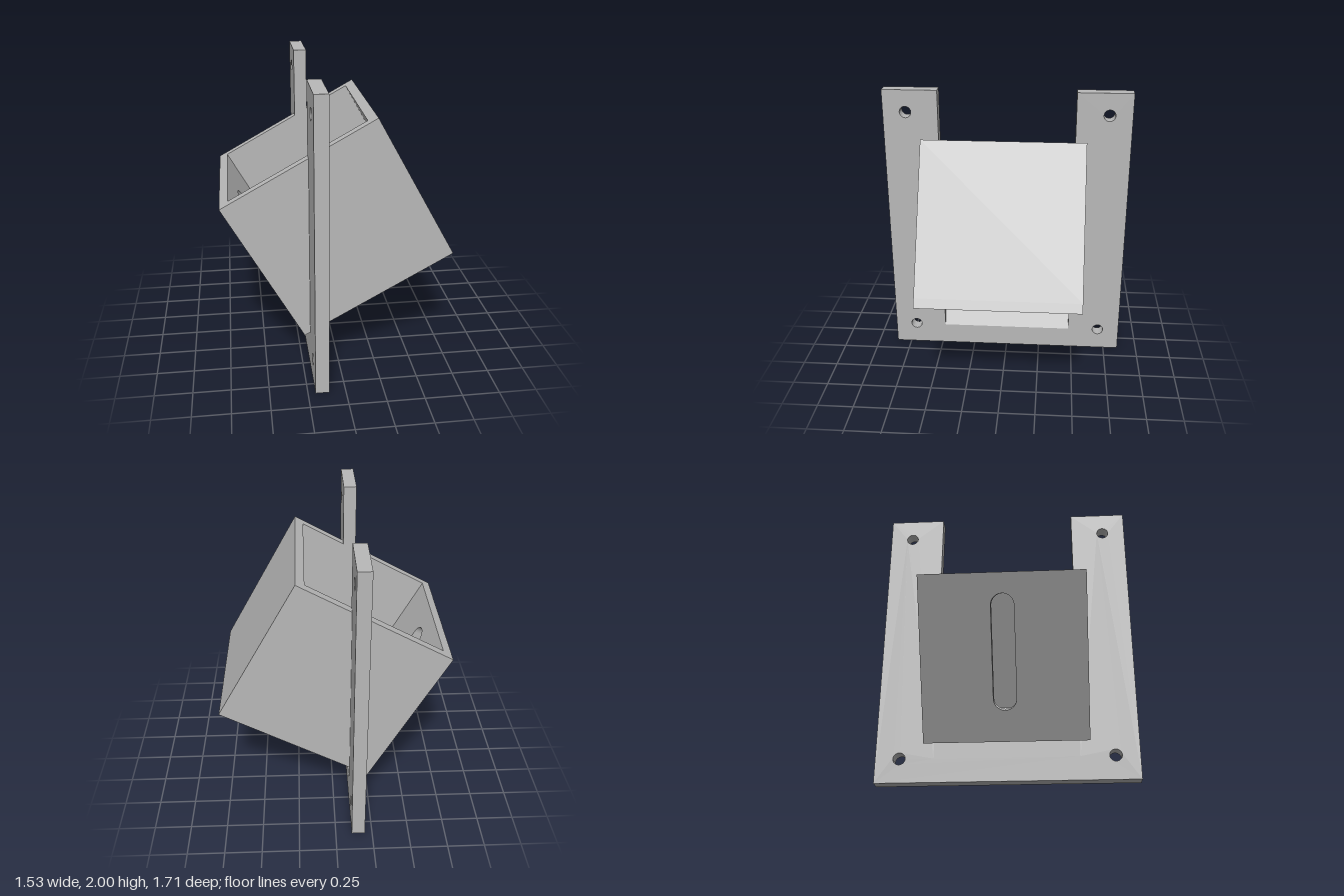
import * as THREE from 'three';
import { toCreasedNormals } from 'three/addons/utils/BufferGeometryUtils.js';

const W = 1.15, H = 1.09, HALF = 0.54, T = 0.065; // tilted box: width, height, half depth, wall
const INNER = HALF - T;
const PLATE_X = -0.2, PLATE_T = 0.09;

const outline = (pts) => new THREE.Shape(pts.map(([x, y]) => new THREE.Vector2(x, y)));

function circleHole(x, y, r) {
  const p = new THREE.Path();
  p.absarc(x, y, r, 0, Math.PI * 2, true);
  return p;
}

function extrude(shape, depth) {
  const g = new THREE.ExtrudeGeometry(shape, { depth, bevelEnabled: false, curveSegments: 32 });
  return toCreasedNormals(g, 0.6);
}

export function createModel() {
  const model = new THREE.Group();
  model.name = 'tiltedBoxBracket';
  const grey = new THREE.MeshStandardMaterial({ color: 0xb8b8b8 });
  grey.name = 'grey';

  const add = (parent, name, geometry, x = 0, y = 0, z = 0) => {
    const mesh = new THREE.Mesh(geometry, grey);
    mesh.name = name;
    mesh.position.set(x, y, z);
    parent.add(mesh);
  };

  // Open box, tilted about z
  const box = new THREE.Group();
  box.name = 'tiltedBox';
  box.position.set(0, 1.005, 0);
  box.rotation.z = THREE.MathUtils.degToRad(29.1);
  model.add(box);

  // Floor with a large round opening
  const floor = outline([[-W / 2, -HALF], [W / 2, -HALF], [W / 2, HALF], [-W / 2, HALF]]);
  floor.holes.push(circleHole(0, 0, 0.388));
  add(box, 'floor', extrude(floor, T).rotateX(-Math.PI / 2), 0, -H / 2);

  // Wall with a long rounded slot
  const slotWall = outline([[-HALF, -H / 2 + T], [HALF, -H / 2 + T], [HALF, H / 2], [-HALF, H / 2]]);
  const r = 0.075, slot = new THREE.Path();
  slot.absarc(0, 0.41 - r, r, 0, Math.PI, false);
  slot.absarc(0, -0.34 + r, r, Math.PI, Math.PI * 2, false);
  slot.closePath();
  slotWall.holes.push(slot);
  add(box, 'slottedWall', extrude(slotWall, T).rotateY(Math.PI / 2), -W / 2);

  // The other three walls as one U
  const l = -W / 2 + T, e = W / 2;
  const walls = outline([
    [l, -HALF], [e, -HALF], [e, HALF], [l, HALF],
    [l, INNER], [e - T, INNER], [e - T, -INNER], [l, -INNER],
  ]);
  add(box, 'threeWalls', extrude(walls, H - T).rotateX(-Math.PI / 2), 0, -H / 2 + T);

  // Upright mounting plate, open at the top, with four screw holes
  const P = 0.857, sill = 0.157;
  const plate = outline([
    [-P, 0], [P, 0], [P, 2], [INNER, 2], [INNER, sill], [-INNER, sill], [-INNER, 2], [-P, 2],
  ]);
  for (const z of [-0.7, 0.7]) for (const y of [0.16, 1.845]) plate.holes.push(circleHole(z, y, 0.04));
  add(model, 'mountingPlate', extrude(plate, PLATE_T).rotateY(Math.PI / 2), PLATE_X);

  // Sloped sill joining the plate to the underside of the box
  const wedge = outline([
    [PLATE_X, sill], [PLATE_X + PLATE_T, sill], [-0.183, 0.29], [PLATE_X, 0.29],
  ]);
  add(model, 'slopedSill', extrude(wedge, INNER * 2), 0, 0, -INNER);

  return model;
}
